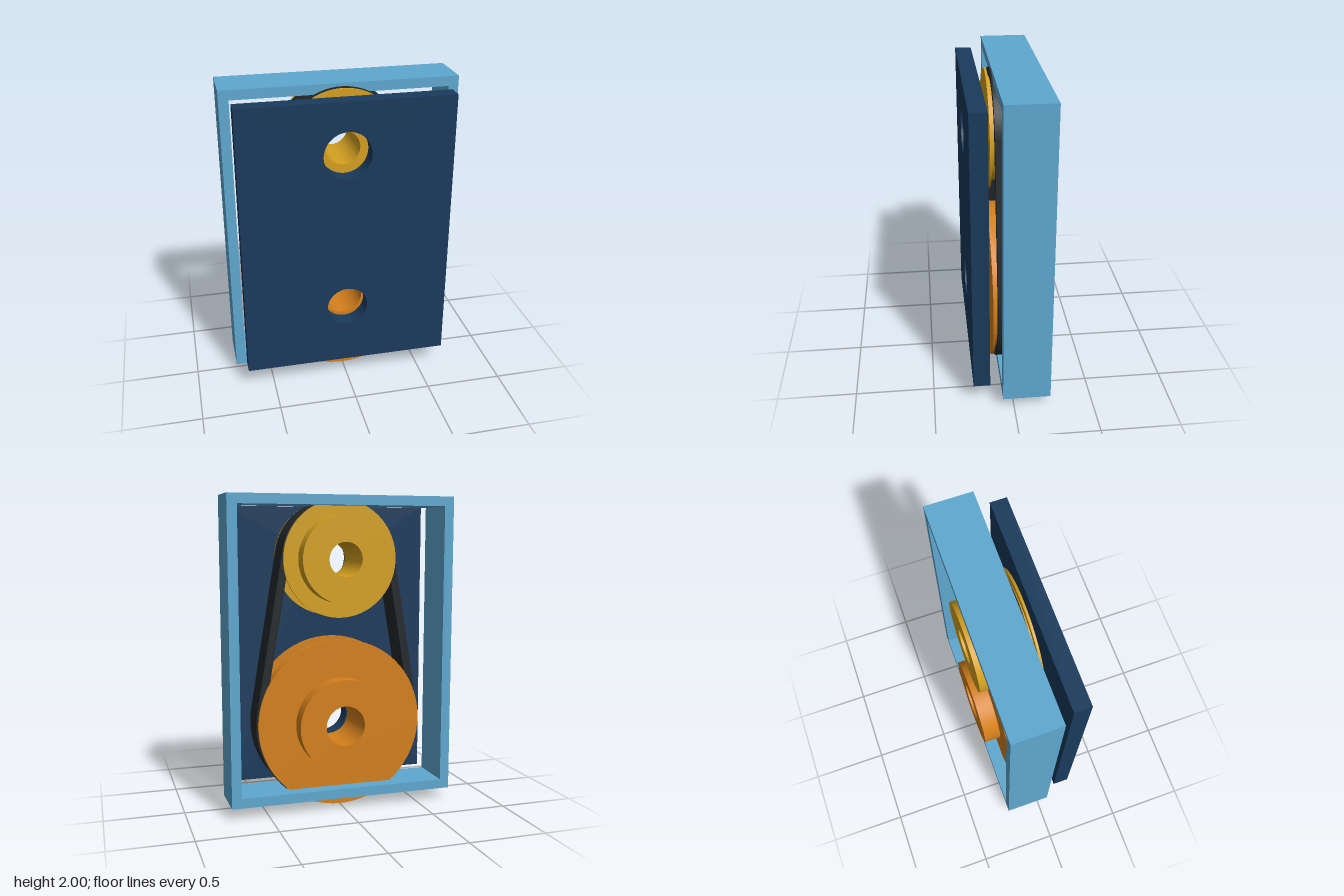
import * as THREE from 'three';
import { toCreasedNormals } from 'three/addons/utils/BufferGeometryUtils.js';

const UPPER_Y = 1.605, LOWER_Y = 0.55;

const material = (color) => new THREE.MeshStandardMaterial({ color });

function rectangle(halfWidth, y0, y1, Type = THREE.Shape) {
  return new Type([
    new THREE.Vector2(-halfWidth, y0), new THREE.Vector2(halfWidth, y0),
    new THREE.Vector2(halfWidth, y1), new THREE.Vector2(-halfWidth, y1),
  ]);
}

function circle(y, radius) {
  return new THREE.Path().absarc(0, y, radius, 0, Math.PI * 2, false);
}

// Extrude a shape from z0 to z1 with smooth curves and sharp edges
function slab(name, shape, z0, z1, color) {
  const geometry = new THREE.ExtrudeGeometry(shape, { depth: z1 - z0, bevelEnabled: false, curveSegments: 64 });
  geometry.translate(0, 0, z0);
  const mesh = new THREE.Mesh(toCreasedNormals(geometry, 0.5), material(color));
  mesh.name = name;
  return mesh;
}

// Flanged wheel with a rear hub and a through bore, turned about z
function pulley(name, y, { bore, hub, drum, flange }, color) {
  const profile = [
    [bore, -0.25], [hub, -0.25], [hub, -0.14], [flange, -0.14], [flange, -0.125],
    [drum, -0.125], [drum, 0.095], [flange, 0.095], [flange, 0.11], [bore, 0.11], [bore, -0.25],
  ].map(([r, z]) => new THREE.Vector2(r, z));
  const geometry = new THREE.LatheGeometry(profile, 80);
  geometry.rotateX(Math.PI / 2);
  const mesh = new THREE.Mesh(toCreasedNormals(geometry, 0.5), material(color));
  mesh.name = name;
  mesh.position.y = y;
  return mesh;
}

// Loop wrapped around the two pulleys, joined by straight tangents
function beltLoop(Type, upperRadius, lowerRadius) {
  const a = Math.asin((lowerRadius - upperRadius) / (UPPER_Y - LOWER_Y));
  const loop = new Type();
  loop.absarc(0, UPPER_Y, upperRadius, a, Math.PI - a, false);
  loop.absarc(0, LOWER_Y, lowerRadius, Math.PI - a, Math.PI * 2 + a, false);
  loop.closePath();
  return loop;
}

export function createModel() {
  const group = new THREE.Group();
  group.name = 'beltDrive';

  // Open rectangular housing
  const frame = rectangle(0.735, 0.07, 2);
  frame.holes.push(rectangle(0.673, 0.132, 1.938, THREE.Path));
  group.add(slab('housingFrame', frame, -0.23, 0.07, 0x5fa8d0));

  // Front plate with two shaft holes
  const plate = rectangle(0.67, 0.135, 1.94);
  plate.holes.push(circle(UPPER_Y, 0.15), circle(LOWER_Y, 0.132));
  group.add(slab('coverPlate', plate, 0.145, 0.25, 0x1a3a5c));

  // Pulleys
  group.add(pulley('upperPulley', UPPER_Y, { bore: 0.108, hub: 0.2775, drum: 0.3225, flange: 0.372 }, 0xd4a020));
  group.add(pulley('lowerPulley', LOWER_Y, { bore: 0.128, hub: 0.2975, drum: 0.4975, flange: 0.5425 }, 0xd4801c));

  // Belt
  const belt = beltLoop(THREE.Shape, 0.375, 0.55);
  belt.holes.push(beltLoop(THREE.Path, 0.3235, 0.4985));
  group.add(slab('belt', belt, -0.11, 0.08, 0x24282c));

  return group;
}
